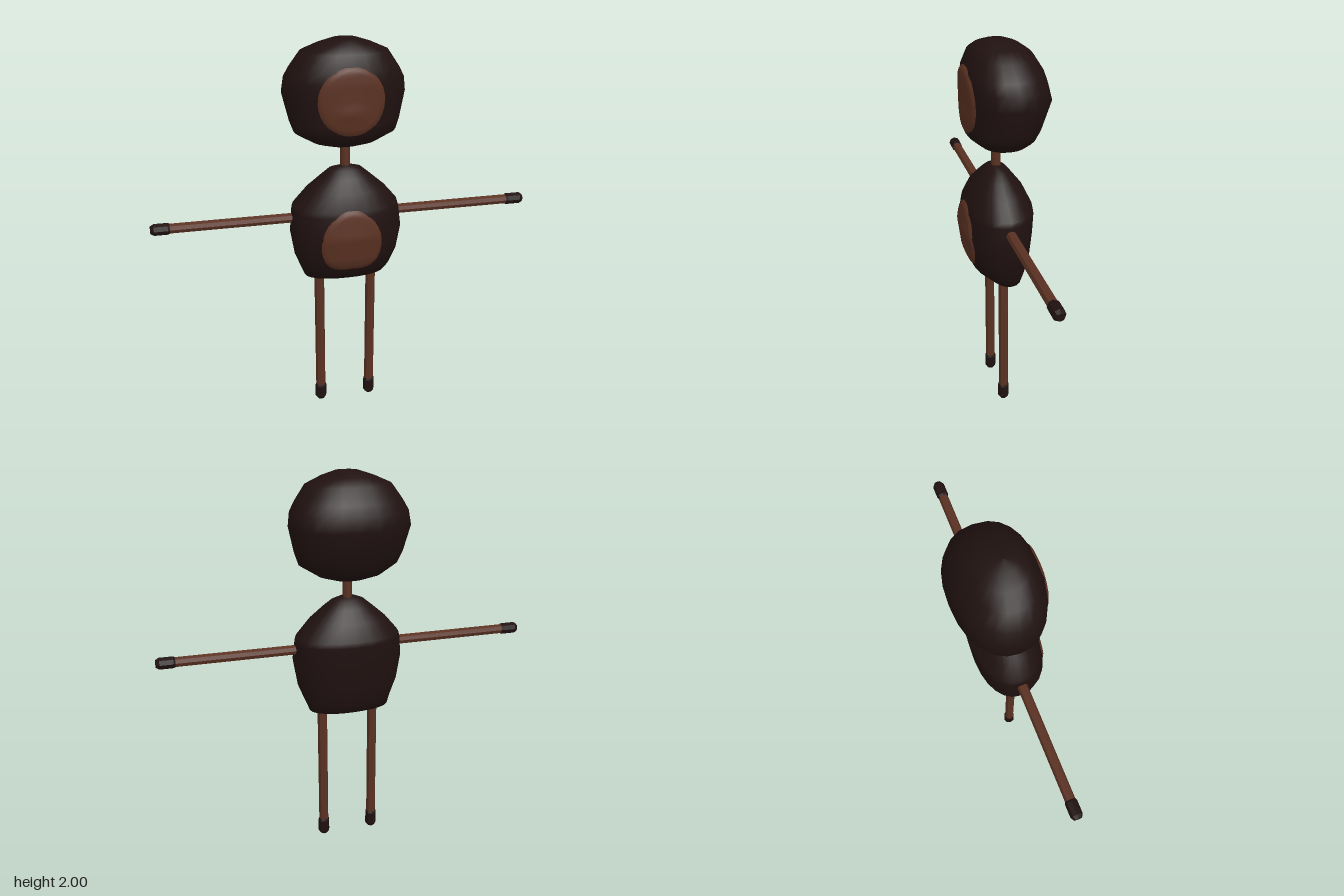
import * as THREE from 'three';

const dark = new THREE.MeshStandardMaterial({ color: 0x1f1110 });
const brown = new THREE.MeshStandardMaterial({ color: 0x5a3122 });
const LIMB_Z = 0.03;

// Rows: height, half width, front z, back z
const HEAD = [
  [1.465, 0, 0, -0.02], [1.475, 0.08, 0.06, -0.06], [1.5, 0.16, 0.12, -0.115], [1.555, 0.25, 0.18, -0.15],
  [1.61, 0.27, 0.187, -0.178], [1.74, 0.3, 0.19, -0.218], [1.81, 0.29, 0.19, -0.2], [1.86, 0.262, 0.185, -0.183],
  [1.935, 0.21, 0.157, -0.135], [1.97, 0.13, 0.128, -0.085], [1.993, 0.06, 0.085, -0.03], [2, 0, 0.03, 0.03],
];
const BODY = [
  [0.752, 0, 0.01, 0.01], [0.757, 0.13, 0.045, -0.04], [0.78, 0.21, 0.1, -0.085], [0.835, 0.232, 0.165, -0.108],
  [0.92, 0.265, 0.198, -0.125], [1.05, 0.286, 0.214, -0.136], [1.155, 0.275, 0.198, -0.143], [1.18, 0.268, 0.192, -0.138],
  [1.26, 0.2, 0.162, -0.1], [1.325, 0.125, 0.115, -0.05], [1.36, 0.083, 0.08, -0.02], [1.377, 0.035, 0.055, 0.02],
  [1.38, 0, 0.035, 0.035],
];

function toGeometry(points, index) {
  const g = new THREE.BufferGeometry();
  g.setAttribute('position', new THREE.Float32BufferAttribute(points, 3));
  g.setIndex(index);
  g.computeVertexNormals();
  return g;
}

// Closed rounded form made of superelliptic rings stacked along y
function loft(rows, power, segments = 24) {
  const points = [], index = [];
  const bend = (v) => Math.sign(v) * Math.abs(v) ** (2 / power);
  rows.forEach(([y, w, front, back], i) => {
    for (let j = 0; j < segments; j++) {
      const a = (j / segments) * Math.PI * 2;
      points.push(w * bend(Math.cos(a)), y, (front + back) / 2 + ((front - back) / 2) * bend(Math.sin(a)));
      if (i === rows.length - 1) continue;
      const p = i * segments + j, next = i * segments + ((j + 1) % segments);
      index.push(p, p + segments, next, p + segments, next + segments, next);
    }
  });
  return toGeometry(points, index);
}

// Depth of the front surface of a loft at x, y
function frontZ(rows, power, x, y) {
  let i = 0;
  while (i < rows.length - 2 && rows[i + 1][0] < y) i++;
  const t = (y - rows[i][0]) / (rows[i + 1][0] - rows[i][0]);
  const [, w, f, b] = rows[i].map((v, k) => THREE.MathUtils.lerp(v, rows[i + 1][k], t));
  return (f + b) / 2 + ((f - b) / 2) * Math.max(0, 1 - Math.abs(x / w) ** power) ** (1 / power);
}

// Patch lying on a loft, bounded by a closed outline around a centre height
function patch(rows, power, outline, cy, bump = () => 0) {
  const points = [], index = [], rings = 10, n = outline.length;
  for (let r = 0; r <= rings; r++) {
    outline.forEach((o, j) => {
      const s = r / rings, x = o.x * s, y = cy + (o.y - cy) * s;
      const lift = r === rings ? -0.004 : 0.006;
      points.push(x, y, frontZ(rows, power, x, y) + lift + bump(x, y));
      if (r === rings) return;
      const p = r * n + j, next = r * n + ((j + 1) % n);
      index.push(p, p + n, next, p + n, next + n, next);
    });
  }
  return toGeometry(points, index);
}

function add(parent, name, geometry, material, x = 0, y = 0, z = 0) {
  const mesh = new THREE.Mesh(geometry, material);
  mesh.name = name;
  mesh.position.set(x, y, z);
  parent.add(mesh);
  return mesh;
}

// Straight limb hanging down from its origin, ending in a bevelled dark tip
function limb(name, tipName, length) {
  const g = new THREE.Group();
  g.name = name;
  const rod = new THREE.CylinderGeometry(0.026, 0.026, length - 0.05, 8).toNonIndexed();
  rod.computeVertexNormals();
  add(g, name + 'Rod', rod, brown, 0, -(length - 0.05) / 2);
  const profile = [[0, 0], [0.02, 0], [0.031, 0.018], [0.031, 0.085], [0.024, 0.098], [0, 0.098]];
  const tip = new THREE.LatheGeometry(profile.map(([x, y]) => new THREE.Vector2(x, y)), 8).toNonIndexed();
  tip.computeVertexNormals();
  add(g, tipName, tip, dark, 0, -length);
  return g;
}

export function createModel() {
  const model = new THREE.Group();
  model.name = 'figure';

  // Head with a round face and a soft muzzle
  add(model, 'head', loft(HEAD, 2.3), dark);
  const circle = Array.from({ length: 32 }, (_, i) => {
    const a = (i / 32) * Math.PI * 2;
    return new THREE.Vector2(0.166 * Math.cos(a), 1.725 + 0.166 * Math.sin(a));
  });
  const muzzle = (x, y) => 0.008 * Math.exp(-((x / 0.08) ** 2) - ((y - 1.67) / 0.04) ** 2);
  add(model, 'face', patch(HEAD, 2.3, circle, 1.725, muzzle), brown);

  // Body with a belly patch
  add(model, 'body', loft(BODY, 2.2), dark);
  const side = [[0.085, 0.868], [0.14, 0.915], [0.158, 1.03], [0.122, 1.12], [0.055, 1.182]];
  const corners = [[0, 0.864], ...side, [0, 1.196], ...side.map(([x, y]) => [-x, y]).reverse()];
  const curve = new THREE.CatmullRomCurve3(corners.map(([x, y]) => new THREE.Vector3(x, y, 0)), true);
  add(model, 'belly', patch(BODY, 2.2, curve.getPoints(36).slice(0, -1), 1.02), brown);

  // Neck
  add(model, 'neck', new THREE.CylinderGeometry(0.025, 0.025, 0.24, 8), brown, 0, 1.43, LIMB_Z);

  // Arms and legs
  for (const s of [1, -1]) {
    const label = s > 0 ? 'left' : 'right';
    const arm = limb(label + 'Arm', label + 'Hand', 0.767);
    arm.position.set(s * 0.2, 1.115, LIMB_Z);
    arm.rotation.z = (s * Math.PI) / 2;
    const leg = limb(label + 'Leg', label + 'Foot', 0.85);
    leg.position.set(s * 0.138, 0.85, LIMB_Z);
    model.add(arm, leg);
  }
  return model;
}
